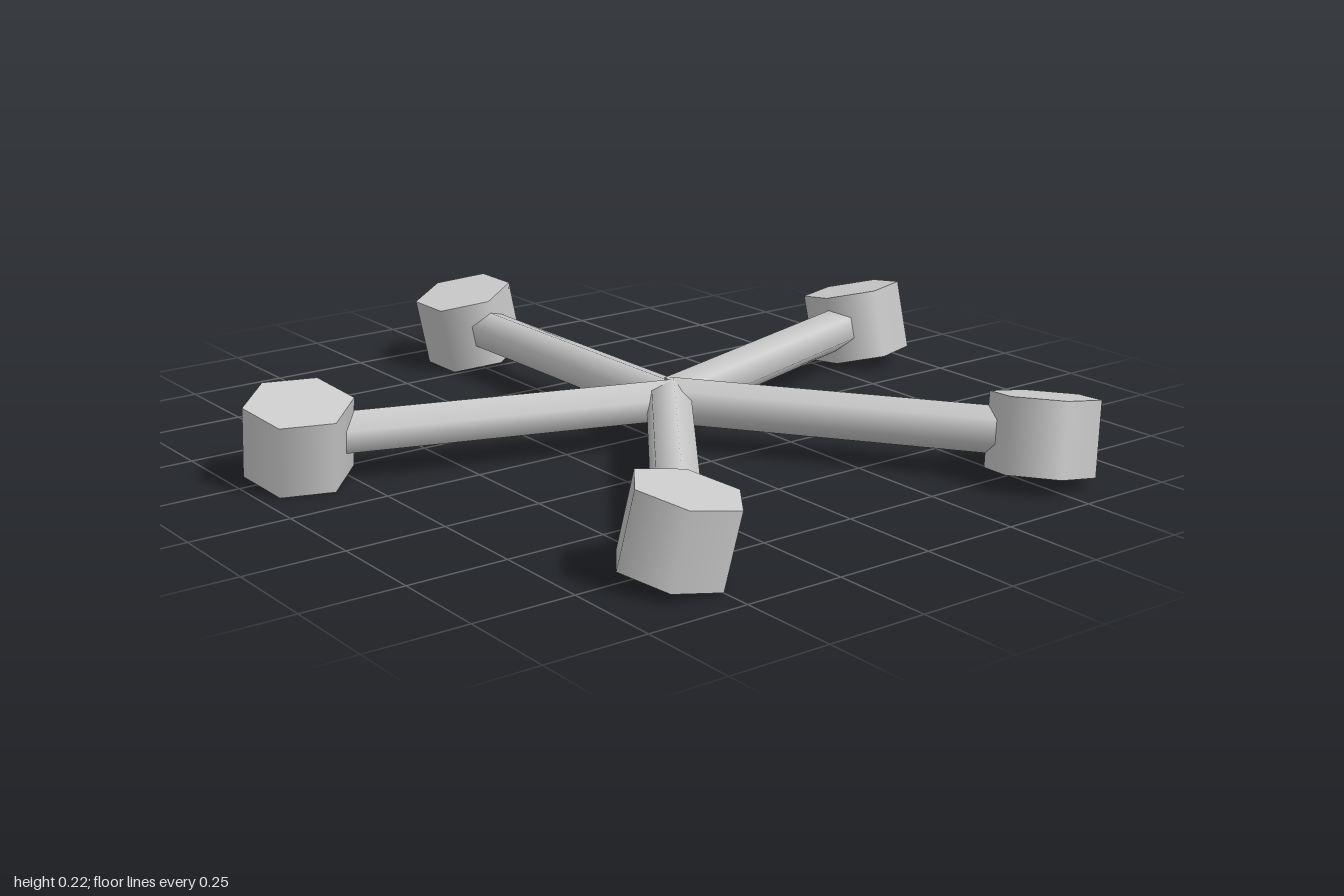
import * as THREE from 'three';

const ARMS = 5;
const REACH = 0.91;      // hub centre to foot centre
const ROLL = THREE.MathUtils.degToRad(12);

export function createModel() {
  const model = new THREE.Group();
  model.name = 'starBase';
  const material = new THREE.MeshStandardMaterial({ color: 0xcccccc });

  // Six-sided bar from the hub outwards along -x, one ridge facing up
  const armGeometry = new THREE.CylinderGeometry(0.057, 0.057, REACH, 6)
    .rotateY(Math.PI / 2)
    .rotateZ(Math.PI / 2)
    .translate(-REACH / 2, 0, 0);

  // Hexagonal block at the tip, corners in line with the arm
  const footGeometry = new THREE.CylinderGeometry(0.13, 0.13, 0.182, 6)
    .rotateY(Math.PI / 2)
    .translate(-REACH, 0, 0);

  for (let i = 0; i < ARMS; i++) {
    // Each spoke is turned about the hub and rolled about its own length
    const spoke = new THREE.Group();
    spoke.name = `spoke${i + 1}`;
    spoke.rotation.set(ROLL, (i * 2 * Math.PI) / ARMS, 0, 'YXZ');
    spoke.position.set(0.08, 0.1125, 0);

    const arm = new THREE.Mesh(armGeometry, material);
    arm.name = 'arm';
    const foot = new THREE.Mesh(footGeometry, material);
    foot.name = 'foot';
    spoke.add(arm, foot);
    model.add(spoke);
  }
  return model;
}
